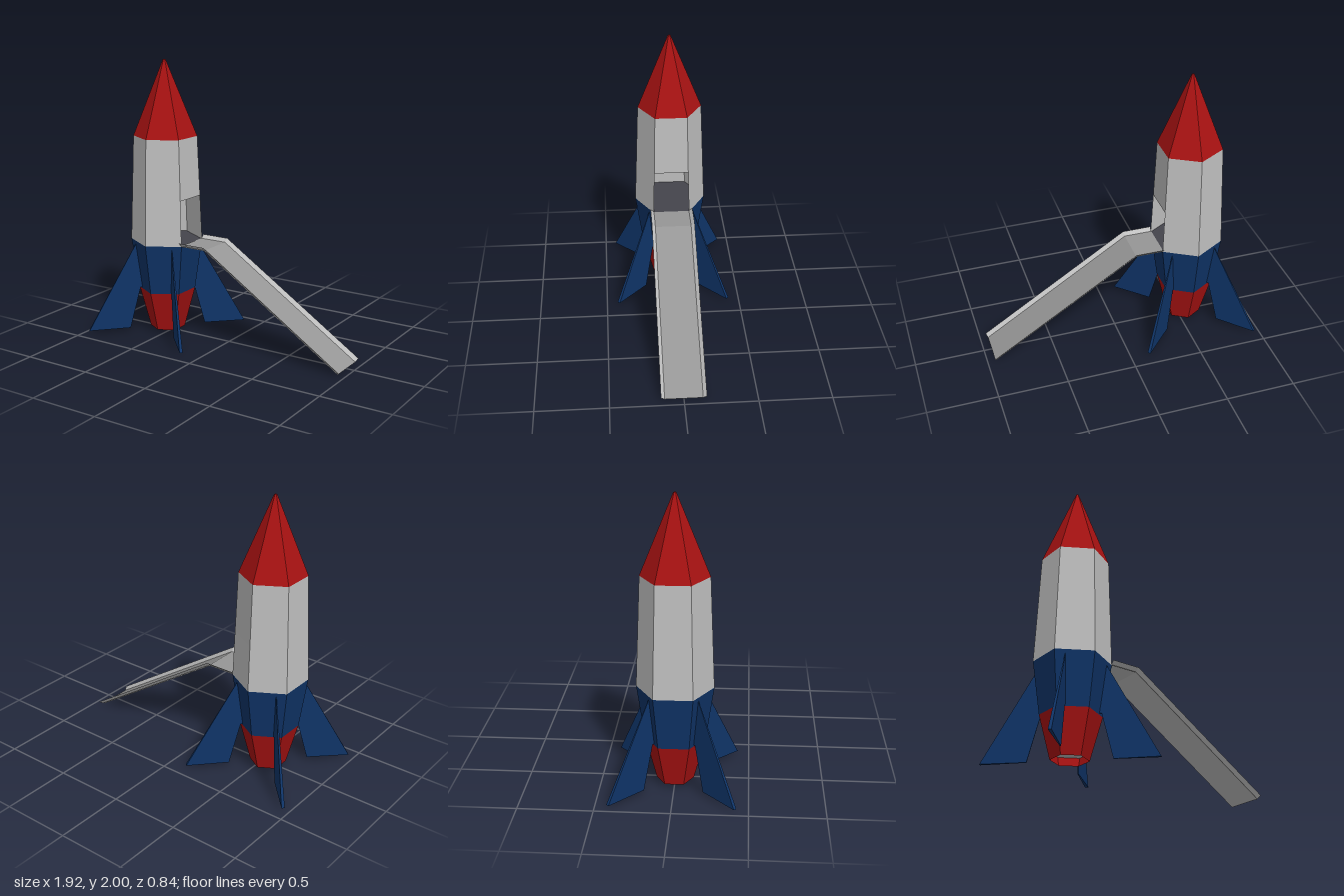
import * as THREE from 'three';

const mat = (name, color) => {
  const m = new THREE.MeshStandardMaterial({ color, flatShading: true, side: THREE.DoubleSide });
  m.name = name;
  return m;
};

export function createModel() {
  const red = mat('red', 0xa81212);
  const blue = mat('navy blue', 0x0f3468);
  const grey = mat('light grey', 0xc0c0c0);
  const deckGrey = mat('deck grey', 0x969696);
  const dark = mat('dark grey', 0x44444c);

  const model = new THREE.Group();
  const rocket = new THREE.Group();
  rocket.name = 'rocket';
  rocket.position.x = -0.545;
  model.add(rocket);

  const add = (parent, name, geometry, material) => {
    const mesh = new THREE.Mesh(geometry, material);
    mesh.name = name;
    parent.add(mesh);
    return mesh;
  };

  // Six-sided hull sections; an open one leaves out the side facing +x
  const band = (name, r0, y0, r1, y1, material, open = false) => {
    const g = new THREE.CylinderGeometry(r1, r0, y1 - y0, open ? 5 : 6, 1, true,
      open ? Math.PI * 2 / 3 : 0, open ? Math.PI * 5 / 3 : Math.PI * 2);
    g.translate(0, (y0 + y1) / 2, 0);
    add(rocket, name, g, material);
  };
  band('engineSkirt', 0.127, 0.02, 0.206, 0.32, red);
  band('lowerHull', 0.206, 0.32, 0.26, 0.69, blue);
  band('cabinWall', 0.26, 0.69, 0.247, 1.02, grey, true);
  band('upperHull', 0.247, 1.02, 0.23, 1.455, grey);
  band('noseCone', 0.23, 1.455, 0.01, 2.0, red);

  // Hexagonal plates: cabin floor, nozzle recess and nose tip
  const plate = (name, r, y, material) => {
    const g = new THREE.CylinderGeometry(r, r, 0.004, 6);
    g.translate(0, y, 0);
    add(rocket, name, g, material);
  };
  plate('cabinFloor', 0.258, 0.69, dark);
  plate('nozzleRecess', 0.138, 0.08, grey);
  plate('noseTip', 0.01, 1.998, red);

  // Four diagonal fins, thin at the root and thicker towards the tip
  const outline = new THREE.Shape(
    [[0.18, 0.33], [0.2, 0.33], [0.28, 0.02], [0.585, 0.02], [0.225, 0.67], [0.18, 0.67]]
      .map(([r, y]) => new THREE.Vector2(r, y)));
  const finGeometry = new THREE.ExtrudeGeometry(outline, { depth: 1, bevelEnabled: false });
  const p = finGeometry.attributes.position;
  for (let i = 0; i < p.count; i++) {
    p.setZ(i, (p.getZ(i) - 0.5) * 0.022 * (p.getX(i) - 0.13) / 0.45);
  }
  finGeometry.computeVertexNormals();
  for (let i = 0; i < 4; i++) {
    add(rocket, 'fin', finGeometry, blue).rotation.y = Math.PI / 4 + i * Math.PI / 2;
  }

  // Boarding ramp: sheets swept along a bent path between two edges
  const ramp = new THREE.Group();
  ramp.name = 'boardingRamp';
  model.add(ramp);
  const low = [[-0.325, 0.695], [-0.12, 0.695], [0.943, 0.003]];
  const high = [[-0.325, 0.72], [-0.115, 0.72], [0.955, 0.024]];
  const under = [[-0.325, 0.69], [-0.122, 0.69], [0.94, 0]];
  const strip = (name, edgeA, zA, edgeB, zB, material) => {
    const points = [];
    for (let i = 0; i < edgeA.length; i++) {
      points.push(...edgeA[i], zA, ...edgeB[i], zB);
    }
    const g = new THREE.BufferGeometry();
    g.setAttribute('position', new THREE.Float32BufferAttribute(points, 3));
    g.setIndex([0, 1, 2, 2, 1, 3, 2, 3, 4, 4, 3, 5]);
    g.computeVertexNormals();
    add(ramp, name, g, material);
  };
  strip('rampDeck', low, -0.13, low, 0.13, deckGrey);
  strip('rampUnderside', under, 0.13, under, -0.13, grey);
  // Low rails leaning outwards
  strip('leftRail', low, 0.13, high, 0.155, grey);
  strip('rightRail', high, -0.155, low, -0.13, grey);

  return model;
}
